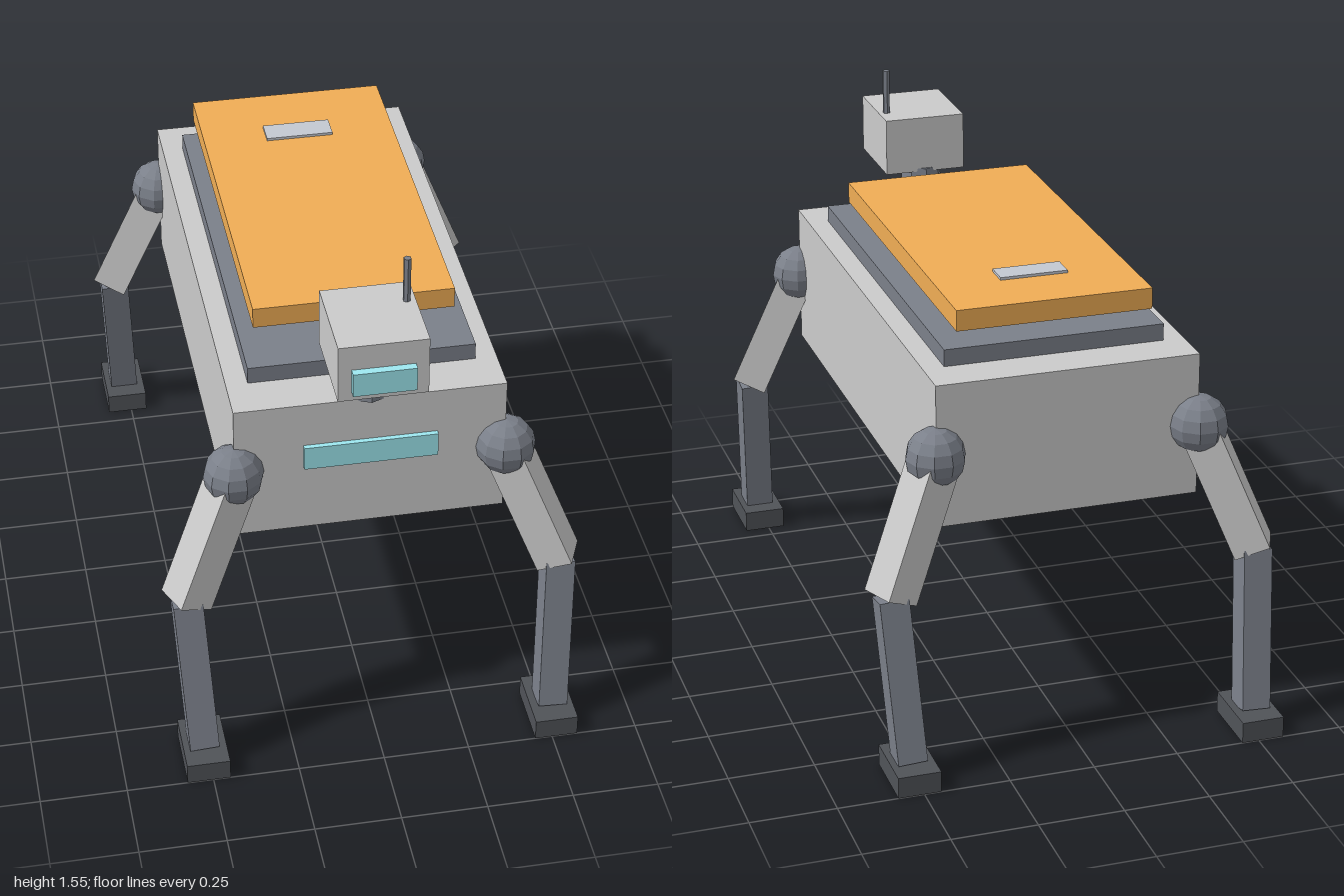
import * as THREE from 'three';

const mat = (color) => new THREE.MeshStandardMaterial({ color, flatShading: true });

export function createModel() {
  const model = new THREE.Group();
  const grey = mat(0xcccccc), dark = mat(0x7b808a), black = mat(0x505358);
  const orange = mat(0xf0ad55), cyan = mat(0x9ee8f0), silver = mat(0xc4c9d2);

  const add = (parent, name, geometry, material, x, y, z) => {
    const mesh = new THREE.Mesh(geometry, material);
    mesh.name = name;
    mesh.position.set(x, y, z);
    parent.add(mesh);
    return mesh;
  };
  // box given by its extents on each axis
  const block = (parent, name, material, [x0, x1], [y0, y1], [z0, z1]) =>
    add(parent, name, new THREE.BoxGeometry(x1 - x0, y1 - y0, z1 - z0), material,
      (x0 + x1) / 2, (y0 + y1) / 2, (z0 + z1) / 2);

  // Body, deck and raised cargo panel
  block(model, 'body', grey, [-0.385, 0.385], [0.69, 1.115], [-0.75, 0.75]);
  block(model, 'chestLight', cyan, [-0.19, 0.19], [0.904, 0.977], [0.74, 0.765]);
  block(model, 'deck', dark, [-0.323, 0.323], [1.115, 1.165], [-0.625, 0.62]);
  block(model, 'cargoPanel', orange, [-0.287, 0.287], [1.215, 1.277], [-0.625, 0.5]);
  block(model, 'panelHandle', silver, [-0.1, 0.1], [1.265, 1.285], [-0.44, -0.365]);

  // Head on a tapered neck
  const head = new THREE.Group();
  head.name = 'head';
  model.add(head);
  add(head, 'neck', new THREE.CylinderGeometry(0.06, 0.075, 0.14, 8), dark, 0, 1.18, 0.69);
  block(head, 'headBox', grey, [-0.125, 0.125], [1.24, 1.415], [0.64, 0.915]);
  block(head, 'visor', cyan, [-0.088, 0.088], [1.268, 1.34], [0.9, 0.938]);
  add(head, 'antenna', new THREE.CylinderGeometry(0.011, 0.011, 0.15, 6), dark, 0.1, 1.477, 0.726);

  // Four legs, mirrored left to right and front to back
  const down = new THREE.Vector3(0, -1, 0);
  for (const sx of [-1, 1]) {
    for (const sz of [-1, 1]) {
      const leg = new THREE.Group();
      leg.name = (sz > 0 ? 'front' : 'back') + (sx > 0 ? 'Left' : 'Right') + 'Leg';
      model.add(leg);
      const hip = new THREE.Vector3(sx * 0.387, 0.905, sz * 0.75);
      const knee = new THREE.Vector3(sx * 0.538, 0.527, sz * 0.815);
      const ankle = new THREE.Vector3(sx * 0.514, 0.06, sz * 0.9);

      add(leg, 'hipJoint', new THREE.SphereGeometry(0.086, 10, 8), dark, ...hip);

      const thigh = add(leg, 'upperLeg',
        new THREE.BoxGeometry(0.107, 0.107, hip.distanceTo(knee)), grey,
        ...hip.clone().lerp(knee, 0.5));
      thigh.lookAt(knee);

      const shin = add(leg, 'lowerLeg',
        new THREE.BoxGeometry(0.085, knee.distanceTo(ankle), 0.085), dark,
        ...knee.clone().lerp(ankle, 0.5));
      shin.quaternion.setFromUnitVectors(down, ankle.clone().sub(knee).normalize());

      add(leg, 'foot', new THREE.BoxGeometry(0.125, 0.063, 0.2), black,
        sx * 0.5125, 0.0315, sz * 0.9);
    }
  }
  return model;
}
